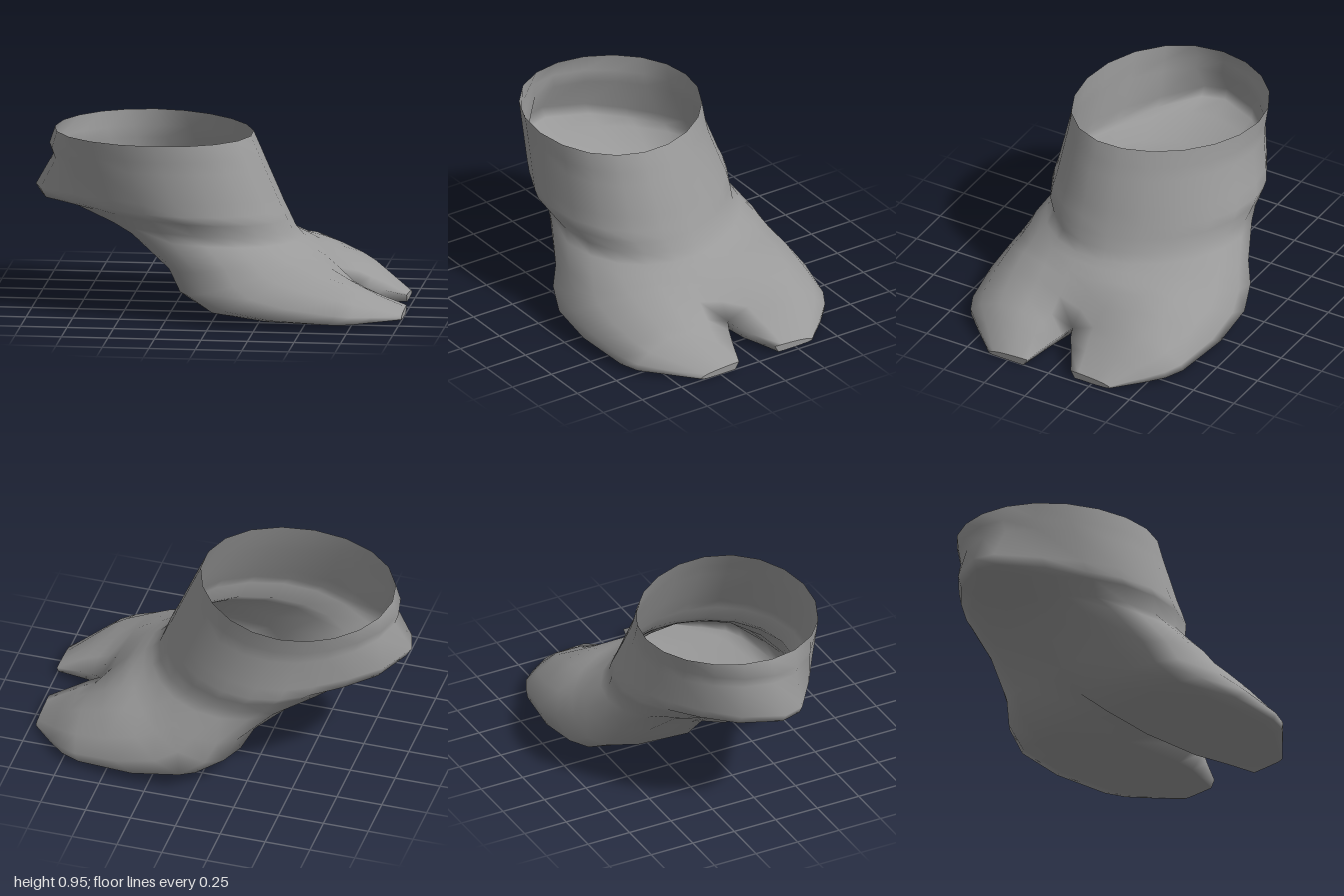
import * as THREE from 'three';
import { mergeVertices } from 'three/addons/utils/BufferGeometryUtils.js';

const material = new THREE.MeshStandardMaterial({ color: 0x9a9a9a, side: THREE.DoubleSide });
const { lerp } = THREE.MathUtils;

// Skin a list of equal-length rows of points; the column "gap" is left open
function loft(rows, gap = -1) {
  const n = rows[0].length, index = [];
  for (let i = 0; i < rows.length - 1; i++) {
    for (let j = 0; j < n - 1; j++) {
      if (j === gap) continue;
      const a = i * n + j, b = a + 1, c = a + n, d = c + 1;
      index.push(a, b, c, b, d, c);
    }
  }
  let geo = new THREE.BufferGeometry();
  geo.setAttribute('position', new THREE.Float32BufferAttribute(rows.flat(2), 3));
  geo.setIndex(index);
  geo = mergeVertices(geo, 1e-4);
  geo.computeVertexNormals();
  return geo;
}

// Half cross-section of a toe: [fraction from top to sole, fraction of width, ridge weight]
const TOE = [
  [0, 0, 0], [0.03, 0.2, 0.45], [0.1, 0.42, 0.85], [0.2, 0.66, 1], [0.38, 0.87, 0.6], [0.6, 0.99, 0.2],
  [0.84, 0.99, 0], [0.95, 0.88, 0], [1, 0.64, 0], [1, 0.1, 0], [1, 0, 0],
];
const LAST = TOE.length - 1;

// Share of the dewclaw's push for the last columns of the left and right halves
const SPUR_LEFT = [0.3, 0.95, 1], SPUR_RIGHT = [0.25, 0.65, 1];

// Sections fan from the horizontal leg opening to the upright toe tips.
// t, b: top and bottom points (x, y); w: half width; zc: centre z; k: leg oval to toe shape;
// spur: backward push of the dewclaw; notch: depth of the cleft; inner: half width of the cleft
const SECTIONS = [
  { t: [0.16, 0.95], b: [-0.9, 0.95], w: 0.5, zc: 0.028, k: 0 },
  { t: [0.2, 0.86], b: [-0.88, 0.86], w: 0.5, zc: 0.03, k: 0, spur: 0.05 },
  { t: [0.23, 0.79], b: [-0.86, 0.8], w: 0.505, zc: 0.03, k: 0, spur: 0.05 },
  { t: [0.3, 0.63], b: [-0.81, 0.64], w: 0.535, zc: 0.015, k: 0, spur: 0.19 },
  { t: [0.33, 0.56], b: [-0.78, 0.59], w: 0.55, zc: 0.01, k: 0, spur: 0.19 },
  { t: [0.36, 0.5], b: [-0.73, 0.567], w: 0.55, zc: 0.01, k: 0.04, spur: 0.1 },
  { t: [0.39, 0.435], b: [-0.65, 0.49], w: 0.52, zc: -0.005, k: 0.08 },
  { t: [0.43, 0.39], b: [-0.53, 0.435], w: 0.545, zc: 0, k: 0.2 },
  { t: [0.47, 0.365], b: [-0.29, 0.25], w: 0.61, zc: 0, k: 0.45, ridge: 0.01 },
  { t: [0.53, 0.325], b: [-0.21, 0.13], w: 0.65, zc: 0, k: 0.65, notch: 0.08, ridge: 0.03 },
  { t: [0.58, 0.28], b: [-0.03, 0.05], w: 0.685, zc: 0, k: 0.88, notch: 0.22, ridge: 0.07 },
  { t: [0.65, 0.205], b: [0.28, 0.02], w: 0.69, zc: 0.005, k: 1, notch: 0.5, ridge: 0.09 },
  { t: [0.72, 0.12], b: [0.64, 0.01], w: 0.65, zc: 0.015, k: 1, notch: 1, ridge: 0.11 },
  { t: [0.78, 0.1], b: [0.75, 0.008], w: 0.605, zc: 0.02, k: 1, notch: 1, ridge: 0.09, inner: 0.027 },
  { t: [0.86, 0.08], b: [0.85, 0.006], w: 0.515, zc: 0.013, k: 1, notch: 1, ridge: 0.055, inner: 0.067 },
  { t: [1, 0.04], b: [1, 0], w: 0.365, zc: 0.005, k: 1, notch: 1, inner: 0.125 },
];

function halfSection({ t, b, w, zc, k, spur = 0, notch = 0, ridge = 0, inner = 0 }, side) {
  const push = side > 0 ? SPUR_LEFT : SPUR_RIGHT;
  return TOE.map(([toeDrop, toeWidth, ridgeWeight], j) => {
    const angle = Math.PI * j / LAST;
    const u = j === LAST ? 1 - notch : lerp((1 - Math.cos(angle)) / 2, toeDrop, k);
    const f = lerp(Math.sin(angle), toeWidth, k);
    let z = zc + side * (inner + (w - inner) * f);
    // the leg's front is turned a little to the left
    let x = lerp(t[0], b[0], u) + 0.2 * z * (1 - u) * (1 - k);
    // dewclaw: a rounded spur on the back of the leg, leaning to the left
    if (j >= LAST - 2) x -= spur * push[j - LAST + 2];
    if (j === LAST) z += spur * 0.25;
    // the right toe is slightly shorter
    if (side < 0 && x > 0.8) x -= (x - 0.8) * 0.15;
    return [x, lerp(t[1], b[1], u) + ridge * ridgeWeight, z];
  });
}

export function createModel() {
  const group = new THREE.Group();
  const add = (name, geometry) => {
    const mesh = new THREE.Mesh(geometry, material);
    mesh.name = name;
    group.add(mesh);
  };

  // Open leg with its dewclaw, flowing into a cloven foot
  const rows = SECTIONS.map((s) => [...halfSection(s, 1), ...halfSection(s, -1).reverse()]);
  add('legAndHoof', loft(rows, LAST));

  // Blunt ends of the two toes
  const tip = SECTIONS[SECTIONS.length - 1];
  for (const side of [1, -1]) {
    const rim = halfSection(tip, side);
    if (side < 0) rim.reverse();
    const centre = [0, 1, 2].map((a) => rim.reduce((sum, p) => sum + p[a], 0) / rim.length);
    add(side > 0 ? 'leftToeTip' : 'rightToeTip', loft([rim, rim.map(() => centre)]));
  }

  return group;
}
